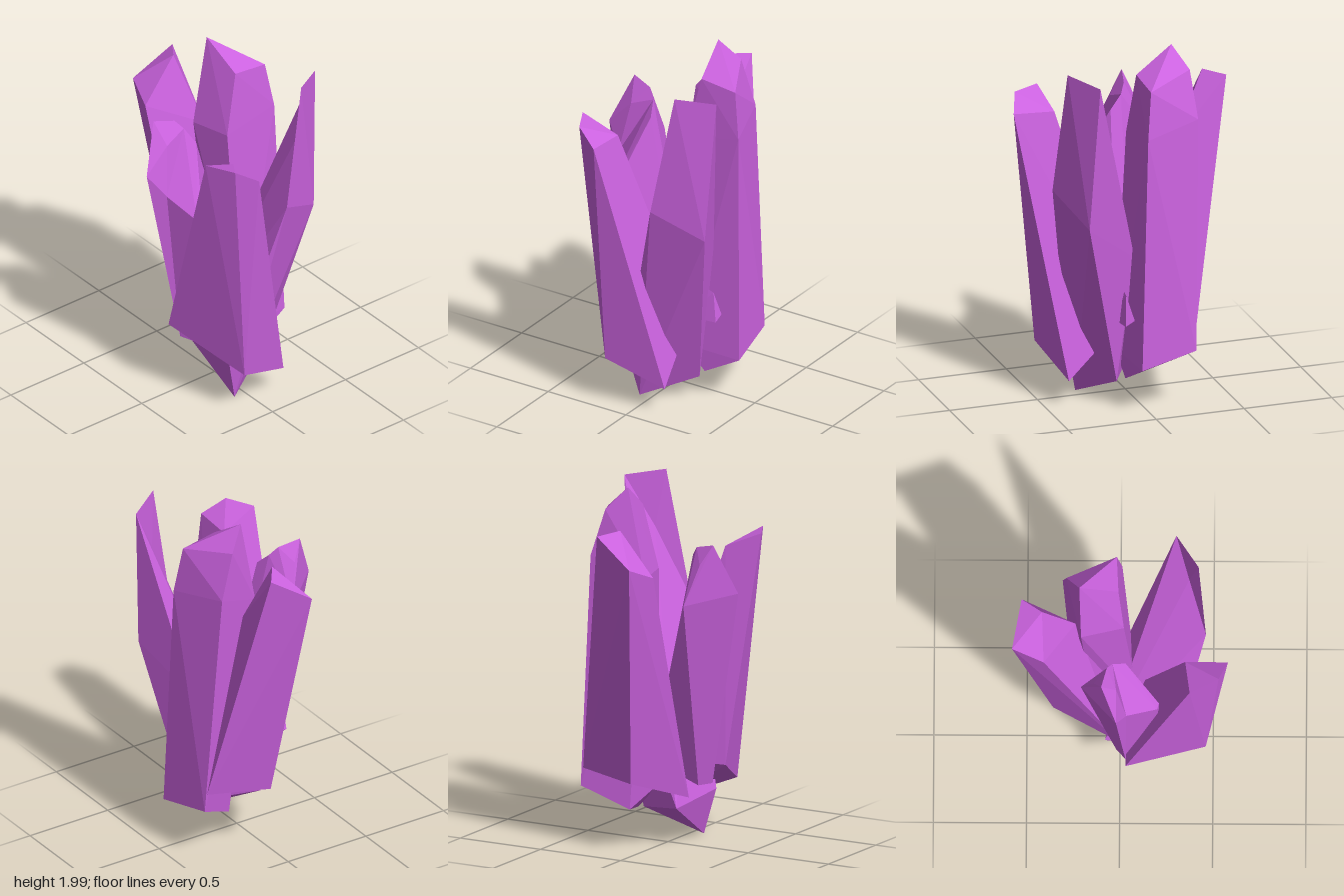
import * as THREE from 'three';
import { ConvexGeometry } from 'three/addons/geometries/ConvexGeometry.js';

const material = new THREE.MeshStandardMaterial({ color: 0xcb62df, flatShading: true });

// Each crystal is a faceted convex shard: corners of its tip, then of its root.
function crystal(name, tip, root) {
  const corners = [...tip, ...root].map((p) => new THREE.Vector3(...p));
  const mesh = new THREE.Mesh(new ConvexGeometry(corners), material);
  mesh.name = name;
  return mesh;
}

export function createModel() {
  const group = new THREE.Group();
  group.name = 'crystalCluster';

  // Shard leaning out to the model's right
  group.add(crystal('rightCrystal',
    [[-0.58, 1.64, 0.1], [-0.53, 1.79, -0.13], [-0.42, 1.81, -0.05], [-0.41, 1.57, 0.15], [-0.24, 1.44, -0.12]],
    [[-0.36, 0.4, -0.02], [0, 0.27, 0.13], [-0.27, 0.43, -0.37], [0.03, 0.34, -0.14]]));

  // Tallest shard, upright at the back
  group.add(crystal('tallBackCrystal',
    [[-0.22, 2, -0.12], [-0.01, 1.86, -0.15], [-0.02, 1.83, -0.36], [-0.29, 1.88, -0.22],
      [-0.21, 1.5, -0.02], [0.02, 1.51, -0.07], [-0.31, 1.62, -0.3], [0.01, 1.57, -0.4]],
    [[-0.27, 0.33, -0.385], [0.055, 0.27, -0.435], [-0.15, 0.2, -0.15], [0.08, 0.16, -0.23], [0.1, 0.3, -0.11]]));

  // Short shard leaning forward: a broad body with a narrow raised tip
  const frontRoot = [[-0.02, 0.35, 0.2], [0.03, 0.36, 0.26], [0, 0.45, -0.1]];
  group.add(crystal('frontCrystalTip',
    [[-0.1, 1.71, 0.34], [-0.07, 1.68, 0.22], [-0.02, 1.58, 0.31], [-0.14, 1.6, 0.28], [-0.02, 1.44, 0.45],
      [-0.21, 1.38, 0.22], [0.035, 1.3, 0.355], [-0.04, 1.63, 0.18]],
    frontRoot));
  group.add(crystal('frontCrystalBody',
    [[-0.21, 1.38, 0.22], [0.035, 1.3, 0.355], [0.21, 1.21, 0.25], [0.2, 1.2, 0.28], [-0.04, 1.63, 0.18],
      [0.03, 1.56, 0.15]],
    [...frontRoot, [0.22, 0.3, 0.12], [0.09, 0.45, -0.12]]));

  // Broad shard leaning out to the model's left
  group.add(crystal('leftCrystal',
    [[0.375, 1.68, 0.36], [0.53, 1.68, 0.28], [0.58, 1.6, 0.155], [0.35, 1.59, 0.15]],
    [[0.03, 0.47, 0.34], [0.46, 0.29, 0.16], [0.38, 0.16, -0.17], [0.05, 0.45, -0.12]]));

  // Shard leaning back, with the lowest root and a thin spike beside its ridge
  const ridge = [[0.3, 1.92, -0.45], [0.37, 1.64, -0.3], [0.345, 1.1, -0.405], [0.46, 1.25, -0.13]];
  group.add(crystal('backLeftCrystal',
    [...ridge, [0.38, 0.9, -0.045], [0.31, 0.95, -0.07], [0.15, 0.75, -0.04], [0.04, 0.86, -0.26]],
    [[0.26, 0.01, 0.07], [0.29, 0.26, 0.13], [-0.08, 0.22, 0.1], [0.13, 0.15, -0.23]]));
  group.add(crystal('backLeftCrystalSpike', [[0.42, 1.95, -0.26]], ridge));

  // Small spur low at the back
  group.add(crystal('backSpur',
    [[0.1, 0.66, -0.3], [0.1, 0.72, -0.12]],
    [[0.06, 0.52, -0.325], [0.11, 0.49, -0.32], [0.05, 0.5, -0.15], [0.15, 0.5, -0.15]]));

  // Stand on the ground
  group.position.y = -0.005;
  return group;
}
